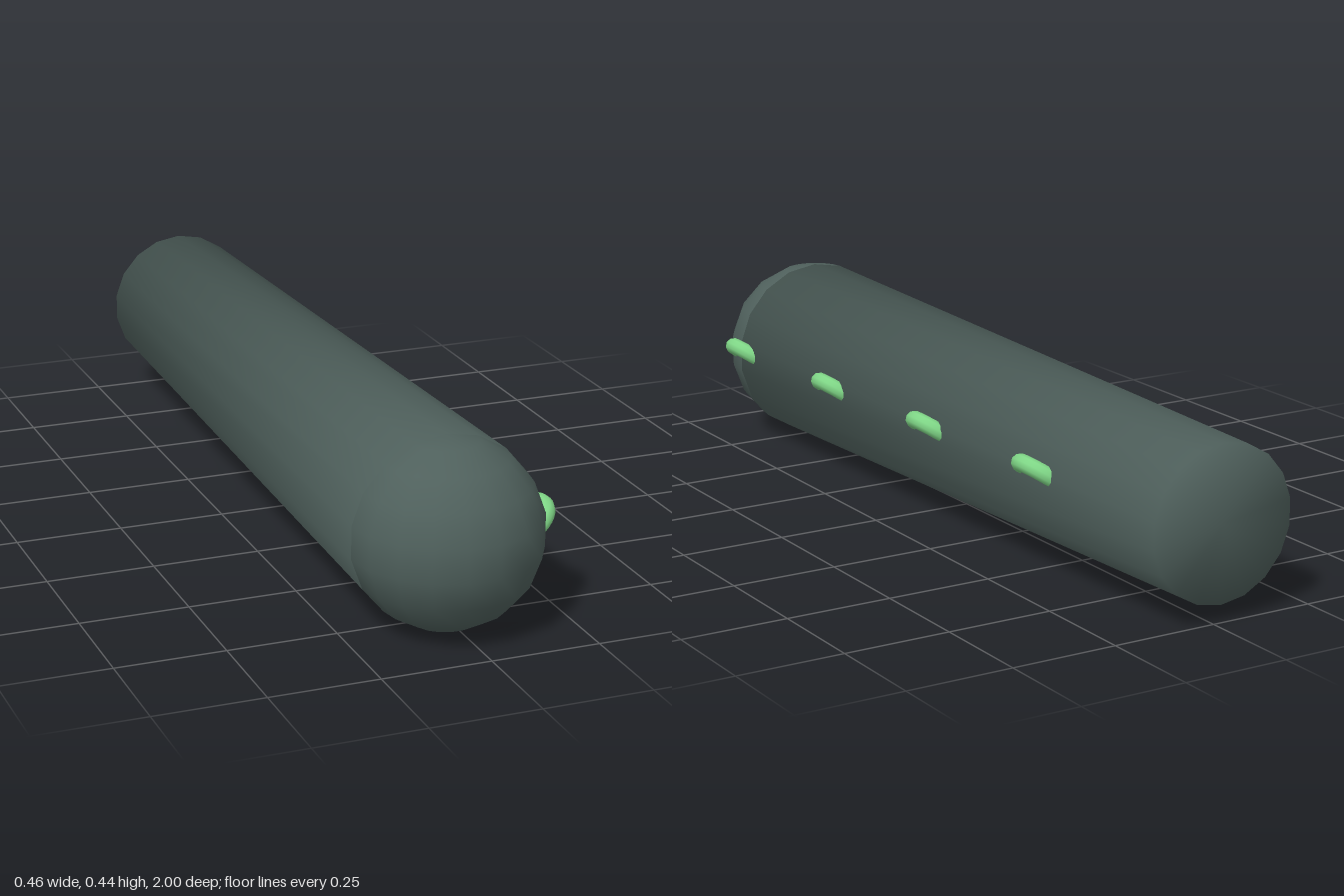
import * as THREE from 'three';

export function createModel() {
  const group = new THREE.Group();
  const bodyMat = new THREE.MeshStandardMaterial({ color: 0x4f605c });
  bodyMat.name = 'dark grey green';
  const loopMat = new THREE.MeshStandardMaterial({ color: 0x7fd686 });
  loopMat.name = 'light green';

  const add = (name, geometry, material, x, y, z) => {
    const mesh = new THREE.Mesh(geometry, material);
    mesh.name = name;
    mesh.position.set(x, y, z);
    group.add(mesh);
    return mesh;
  };

  const R = 0.218, BACK_R = 0.178, CX = -0.018, CY = 0.219, SEAM = 0.786;

  // Tapered barrel with closed ends, 18 sides
  const barrel = new THREE.LatheGeometry([
    new THREE.Vector2(0, -1),
    new THREE.Vector2(BACK_R, -1),
    new THREE.Vector2(R, SEAM),
    new THREE.Vector2(0, SEAM),
  ], 18);
  // Soft shading across the rims: side and cap normals averaged
  const pos = barrel.attributes.position, n = new THREE.Vector3();
  for (let i = 0; i < pos.count; i++) {
    const r = Math.hypot(pos.getX(i), pos.getZ(i));
    const end = Math.sign(pos.getY(i));
    if (r > 0.01) n.set(pos.getX(i) / r, end, pos.getZ(i) / r).normalize();
    else n.set(0, end, 0);
    barrel.attributes.normal.setXYZ(i, n.x, n.y, n.z);
  }
  barrel.rotateX(Math.PI / 2);
  add('barrel', barrel, bodyMat, CX, CY, 0);

  // Rounded front end, half a sphere with its poles at top and bottom
  add('roundedNose', new THREE.SphereGeometry(R, 9, 9, 0, Math.PI), bodyMat, CX, CY, SEAM);

  // Row of half-ring loops along the left side, tilted upward
  const loop = new THREE.TorusGeometry(0.06, 0.02, 10, 16, Math.PI);
  loop.rotateY(Math.PI / 2);
  loop.rotateZ(-THREE.MathUtils.degToRad(55));
  for (let i = 0; i < 4; i++) {
    add('sideLoop' + (i + 1), loop, loopMat,
      0.163 - 0.0085 * i, 0.213 + 0.007 * i, 0.785 - 0.445 * i);
  }
  return group;
}
